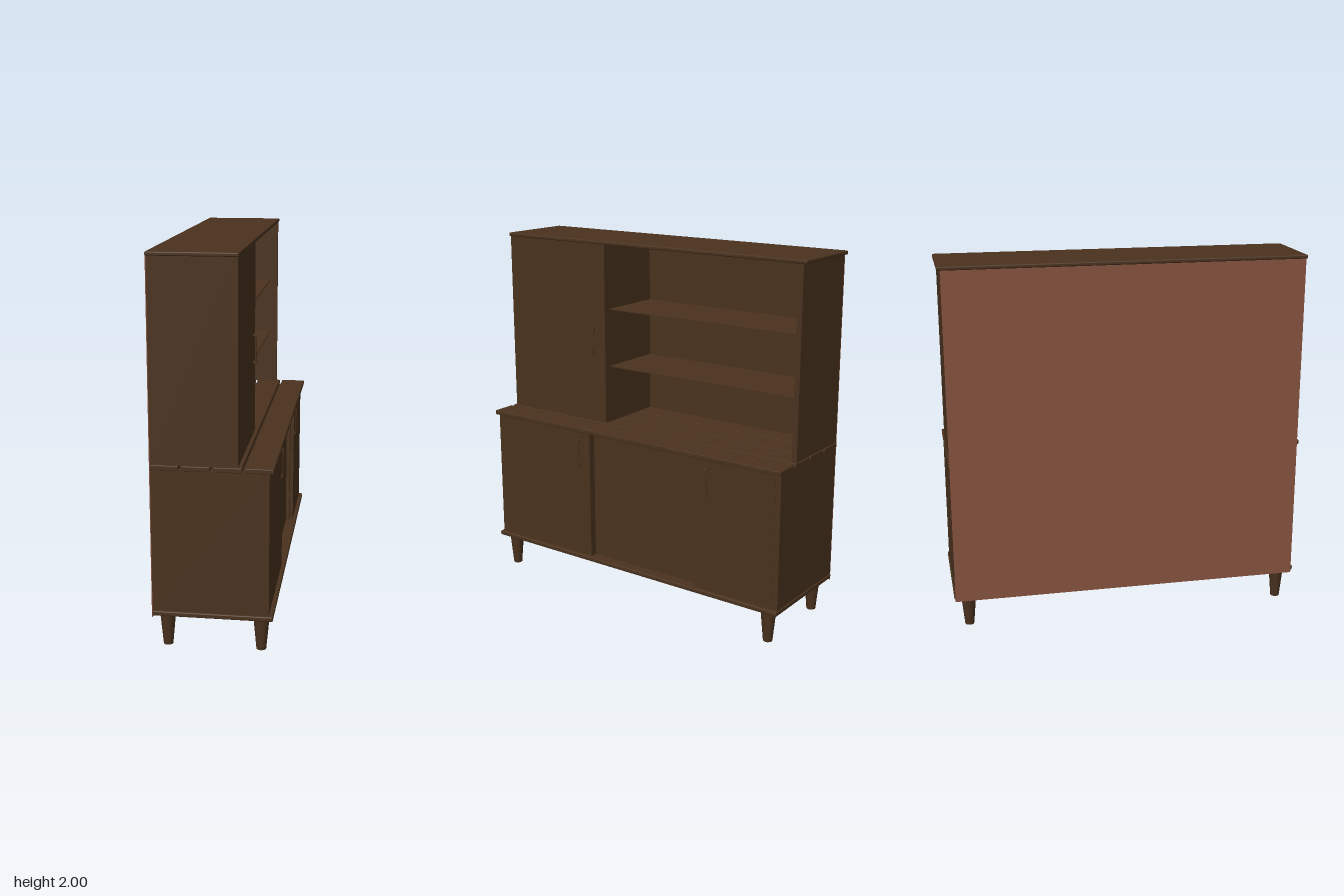
import * as THREE from 'three';
import { RoundedBoxGeometry } from 'three/addons/geometries/RoundedBoxGeometry.js';

export function createModel() {
  const wood = new THREE.MeshStandardMaterial({ name: 'dark wood', color: 0x4a321e });
  const backing = new THREE.MeshStandardMaterial({ name: 'reddish backing', color: 0x87533f });
  const model = new THREE.Group();
  model.name = 'cabinet';

  // Board given by its limits on each axis, optionally with softened edges
  function board(name, [x0, x1], [y0, y1], [z0, z1], radius = 0, material = wood, parent = model) {
    const size = [x1 - x0, y1 - y0, z1 - z0];
    const geometry = radius
      ? new RoundedBoxGeometry(...size, 2, radius)
      : new THREE.BoxGeometry(...size);
    const mesh = new THREE.Mesh(geometry, material);
    mesh.name = name;
    mesh.position.set((x0 + x1) / 2, (y0 + y1) / 2, (z0 + z1) / 2);
    parent.add(mesh);
  }

  const back = -0.302;
  const upperY = [0.97, 1.98];
  const lowerY = [0.205, 0.945];

  // Top and base slabs
  board('topSlab', [-0.307, 0.135], [1.98, 2], [-0.975, 0.972], 0.006);
  board('baseSlab', [-0.302, 0.304], [0.18, 0.205], [-0.963, 0.974], 0.006);

  // Counter made of four planks with narrow gaps
  const planks = [[-0.302, -0.162], [-0.147, -0.007], [0.009, 0.149], [0.164, 0.304]];
  for (const x of planks) board('counterPlank', x, [0.945, 0.97], [-0.963, 0.974], 0.004);

  // Back boards with a thin outer sheet
  board('upperBack', [back, -0.292], upperY, [-0.957, 0.962]);
  board('lowerBack', [back, -0.292], lowerY, [-0.957, 0.962]);
  board('backSheet', [-0.307, back - 0.001], [0.168, 1.98], [-0.957, 0.962], 0, backing);

  // Upper carcass: sides, divider, open shelves
  board('upperRightSide', [back, 0.13], upperY, [-0.957, -0.927]);
  board('upperLeftSide', [back, 0.113], upperY, [0.932, 0.962]);
  board('upperDivider', [back, 0.113], upperY, [0.275, 0.305]);
  for (const y of [1.292, 1.618]) {
    board('shelf', [-0.292, 0.085], [y - 0.003, y + 0.003], [-0.927, 0.275]);
  }

  // Lower carcass: sides and dividers
  board('lowerRightSide', [back, 0.283], lowerY, [-0.957, -0.927]);
  board('lowerLeftSide', [back, 0.263], lowerY, [0.932, 0.962]);
  board('lowerDivider', [back, 0.263], lowerY, [0.275, 0.305]);
  board('lowerDivider', [back, 0.263], lowerY, [-0.462, -0.43]);

  // Doors, with the middle one set back
  board('upperDoor', [0.113, 0.13], upperY, [0.275, 0.962]);
  board('lowerLeftDoor', [0.263, 0.283], lowerY, [0.275, 0.962]);
  board('lowerMiddleDoor', [0.225, 0.243], lowerY, [-0.43, 0.275]);
  board('lowerRightDoor', [0.263, 0.283], lowerY, [-0.926, -0.462]);

  // Bracket handles: a bar on two short posts
  function handle(x, y, z, reach) {
    const group = new THREE.Group();
    group.name = 'handle';
    board('handleBar', [x + reach - 0.006, x + reach], [y, y + 0.154], [z - 0.013, z + 0.013], 0.003, wood, group);
    for (const py of [y, y + 0.144]) {
      board('handlePost', [x - 0.002, x + reach - 0.003], [py, py + 0.01], [z - 0.012, z + 0.012], 0, wood, group);
    }
    model.add(group);
  }
  handle(0.13, 1.358, 0.36, 0.017);
  handle(0.283, 0.74, 0.36, 0.013);
  handle(0.283, 0.74, -0.508, 0.013);

  // Tapered legs
  const legGeometry = new THREE.CylinderGeometry(0.042, 0.025, 0.18, 12);
  for (const x of [-0.237, 0.24]) {
    for (const z of [-0.882, 0.898]) {
      const leg = new THREE.Mesh(legGeometry, wood);
      leg.name = 'leg';
      leg.position.set(x, 0.09, z);
      model.add(leg);
    }
  }

  return model;
}
